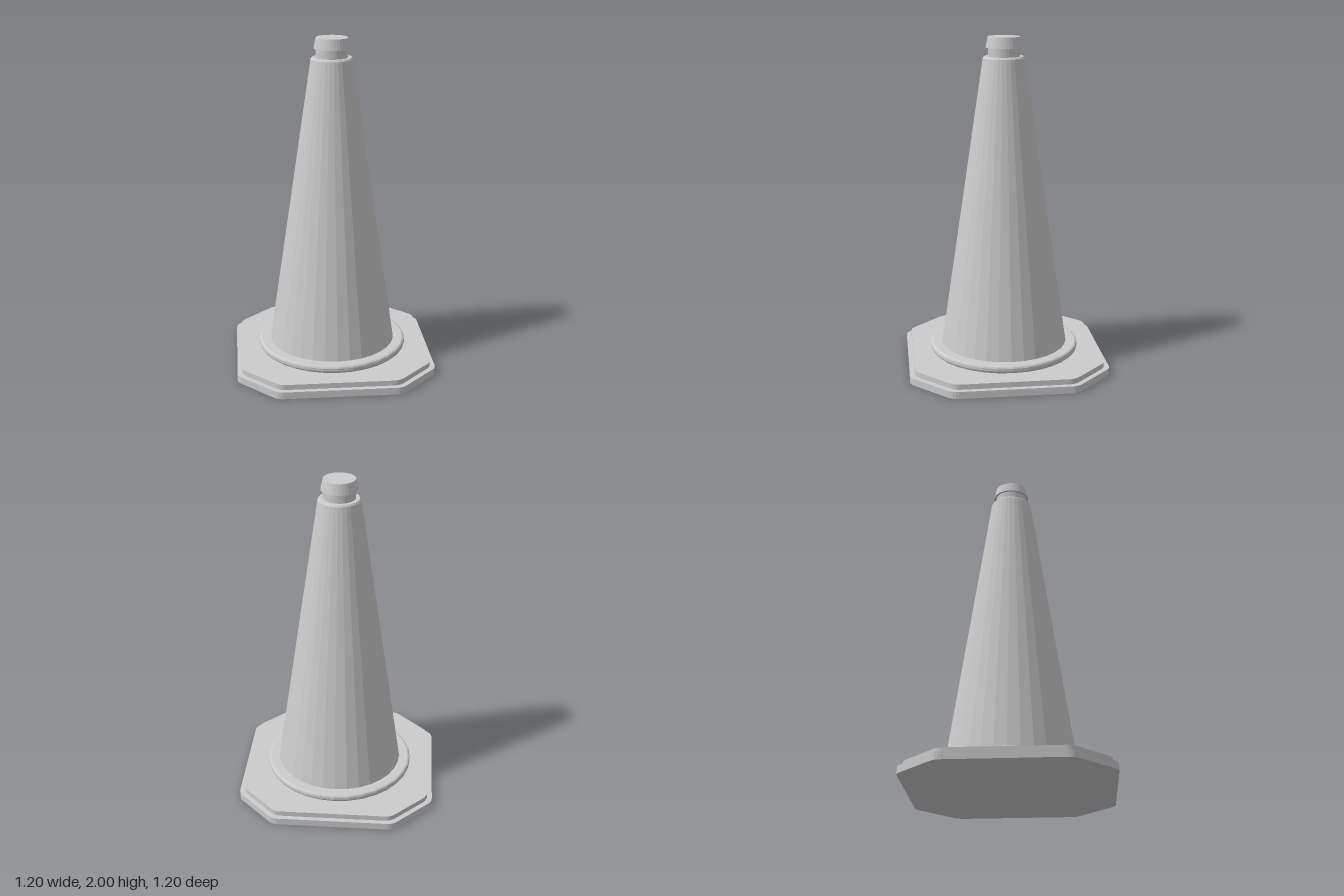
import * as THREE from 'three';

const SIDES = 32;

export function createModel() {
  const model = new THREE.Group();
  const material = new THREE.MeshStandardMaterial({ color: 0xcccccc, flatShading: true });

  const add = (name, geometry, y = 0) => {
    const mesh = new THREE.Mesh(geometry, material);
    mesh.name = name;
    mesh.position.y = y;
    model.add(mesh);
  };

  // Square plate with cut, softly rounded corners: half width h, flat edges reaching to c
  const plate = (h, c, height, r = 0.035) => {
    const corners = [[h, -c], [h, c], [c, h], [-c, h], [-h, c], [-h, -c], [-c, -h], [c, -h]]
      .map(([x, y]) => new THREE.Vector2(x, y));
    const shape = new THREE.Shape();
    corners.forEach((p, i) => {
      const toward = (q) => q.clone().sub(p).setLength(r).add(p);
      const a = toward(corners[(i + 7) % 8]);
      const b = toward(corners[(i + 1) % 8]);
      if (i === 0) shape.moveTo(a.x, a.y);
      else shape.lineTo(a.x, a.y);
      shape.quadraticCurveTo(p.x, p.y, b.x, b.y);
    });
    shape.closePath();
    return new THREE.ExtrudeGeometry(shape, { depth: height, bevelEnabled: false, curveSegments: 4 })
      .rotateX(-Math.PI / 2);
  };

  // Turned part from [radius, height] pairs, bottom to top
  const turned = (points) =>
    new THREE.LatheGeometry(points.map(([r, y]) => new THREE.Vector2(r, y)), SIDES);

  // Stepped base
  add('lowerBasePlate', plate(0.6, 0.365, 0.043), 0);
  add('upperBasePlate', plate(0.57, 0.352, 0.032), 0.043);

  // Rounded flange around the foot of the cone
  add('footRing', turned([
    [0, 0.075], [0.445, 0.075], [0.452, 0.081], [0.456, 0.09],
    [0.456, 0.106], [0.452, 0.115], [0.443, 0.12], [0, 0.12],
  ]));

  // Tapered body with a small bevel at its top rim
  add('coneBody', turned([[0.386, 0.12], [0.125, 1.875], [0.117, 1.885], [0, 1.885]]));

  // Narrow neck and flared cap
  add('neck', turned([[0.095, 1.885], [0.095, 1.937]]));
  add('cap', turned([[0.094, 1.937], [0.108, 1.937], [0.095, 2], [0, 2]]));

  return model;
}
